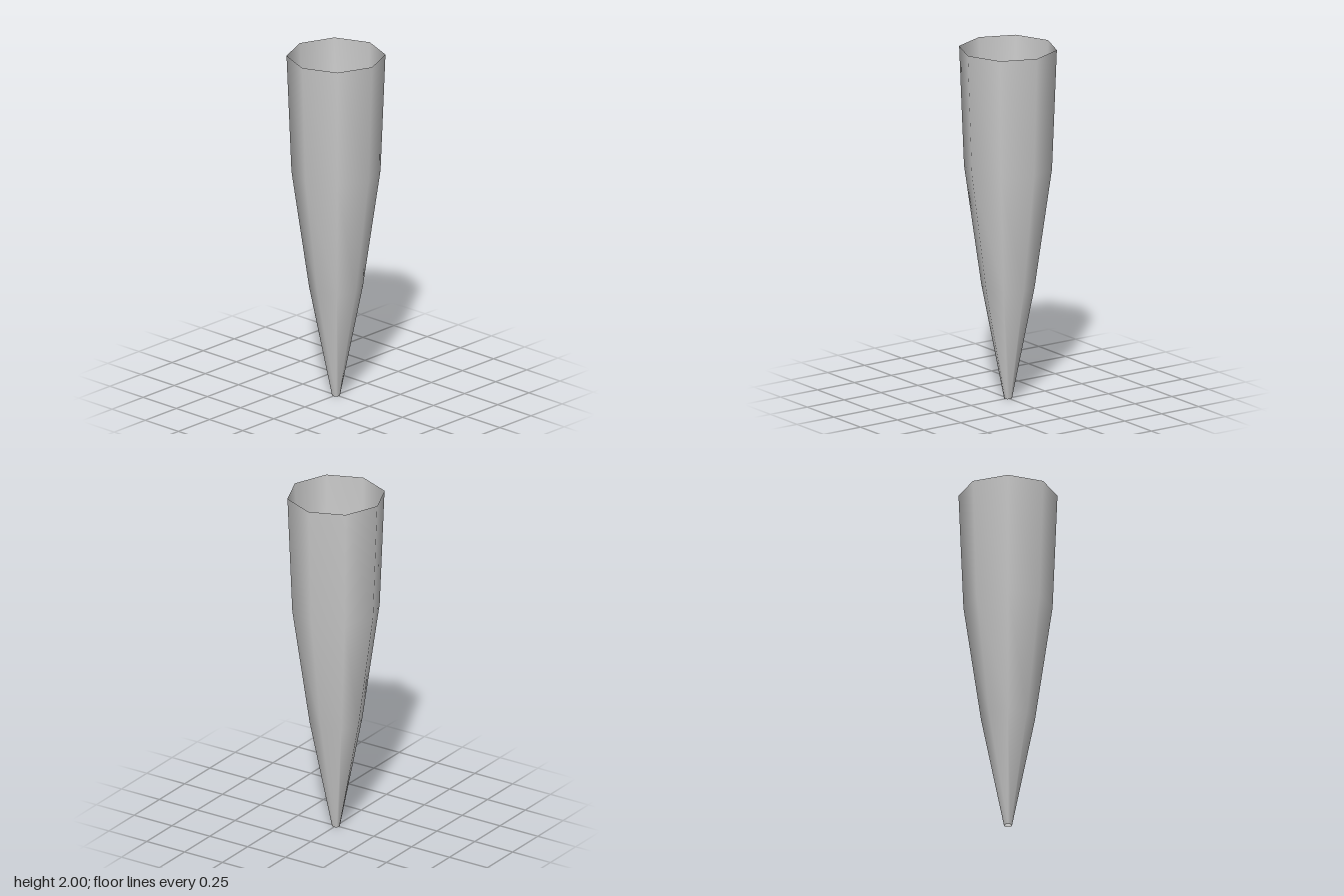
import * as THREE from 'three';

export function createModel() {
  const group = new THREE.Group();
  group.name = 'taperedTube';

  // Eight-sided tapering shell, open at the tip and the rim
  const profile = [
    [0.022, 0],
    [0.148, 0.64],
    [0.245, 1.32],
    [0.272, 2],
  ].map(([r, y]) => new THREE.Vector2(r, y));

  const shell = new THREE.Mesh(
    new THREE.LatheGeometry(profile, 8),
    new THREE.MeshStandardMaterial({ color: 0xcccccc, side: THREE.DoubleSide })
  );
  shell.name = 'shell';
  group.add(shell);

  return group;
}
